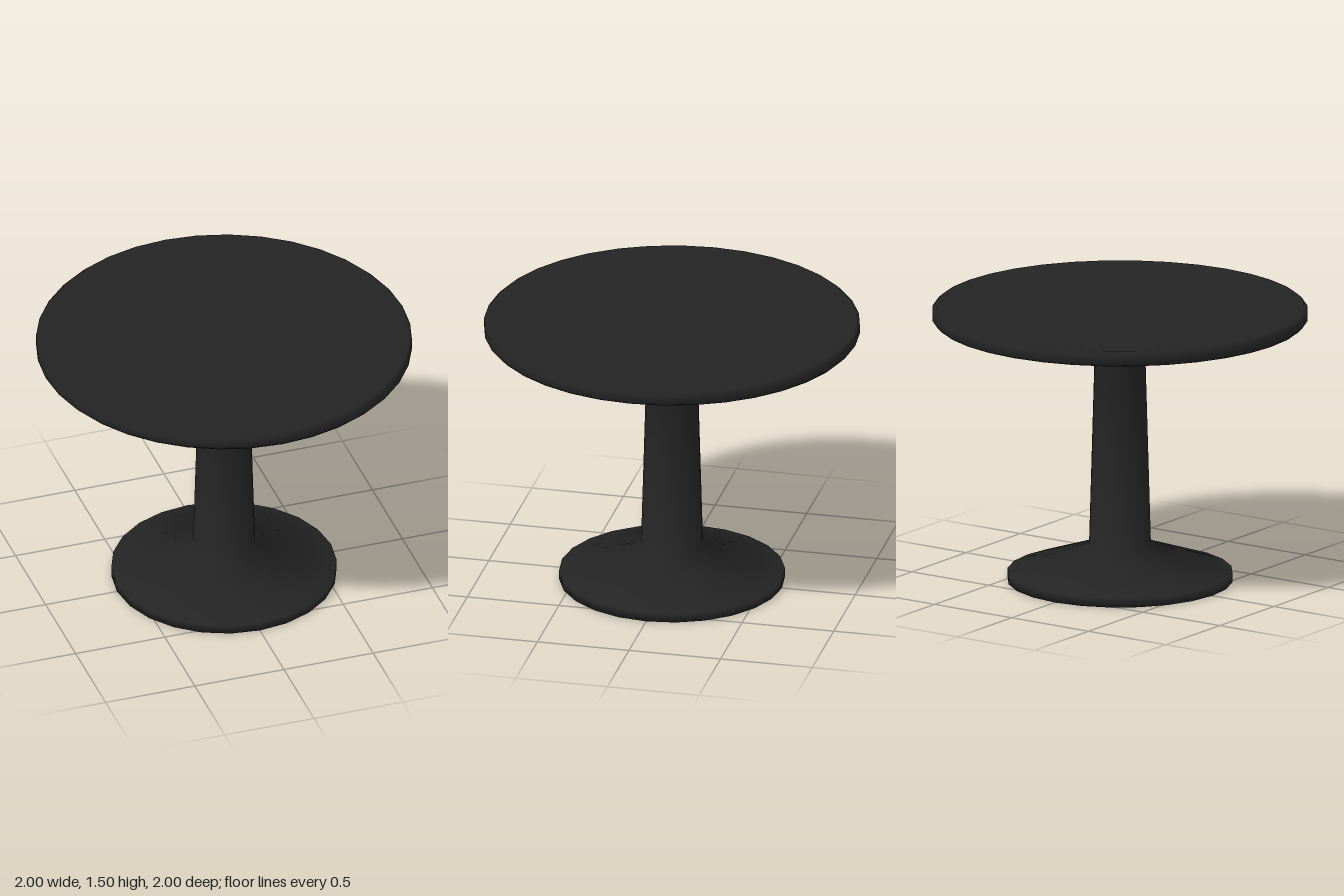
import * as THREE from 'three';

// Spins a closed [radius, height] profile, listed bottom to top
function turned(name, profile, segments, material) {
  const points = profile.map(([r, y]) => new THREE.Vector2(r, y));
  const mesh = new THREE.Mesh(new THREE.LatheGeometry(points, segments), material);
  mesh.name = name;
  return mesh;
}

export function createModel() {
  const table = new THREE.Group();
  table.name = 'pedestalTable';
  const black = new THREE.MeshStandardMaterial({ color: 0x242424 });
  black.name = 'black';

  // Wide foot, tapered column and flared support under the top
  table.add(turned('pedestal', [
    [0, 0], [0.6, 0], [0.6, 0.05], [0.165, 0.2],
    [0.135, 1.25], [0.4, 1.42], [0, 1.42],
  ], 24, black));

  // Round top with a narrow bevel along both edges
  table.add(turned('tabletop', [
    [0, 1.42], [0.98, 1.42], [1, 1.44], [1, 1.48], [0.98, 1.5], [0, 1.5],
  ], 36, black));

  return table;
}
